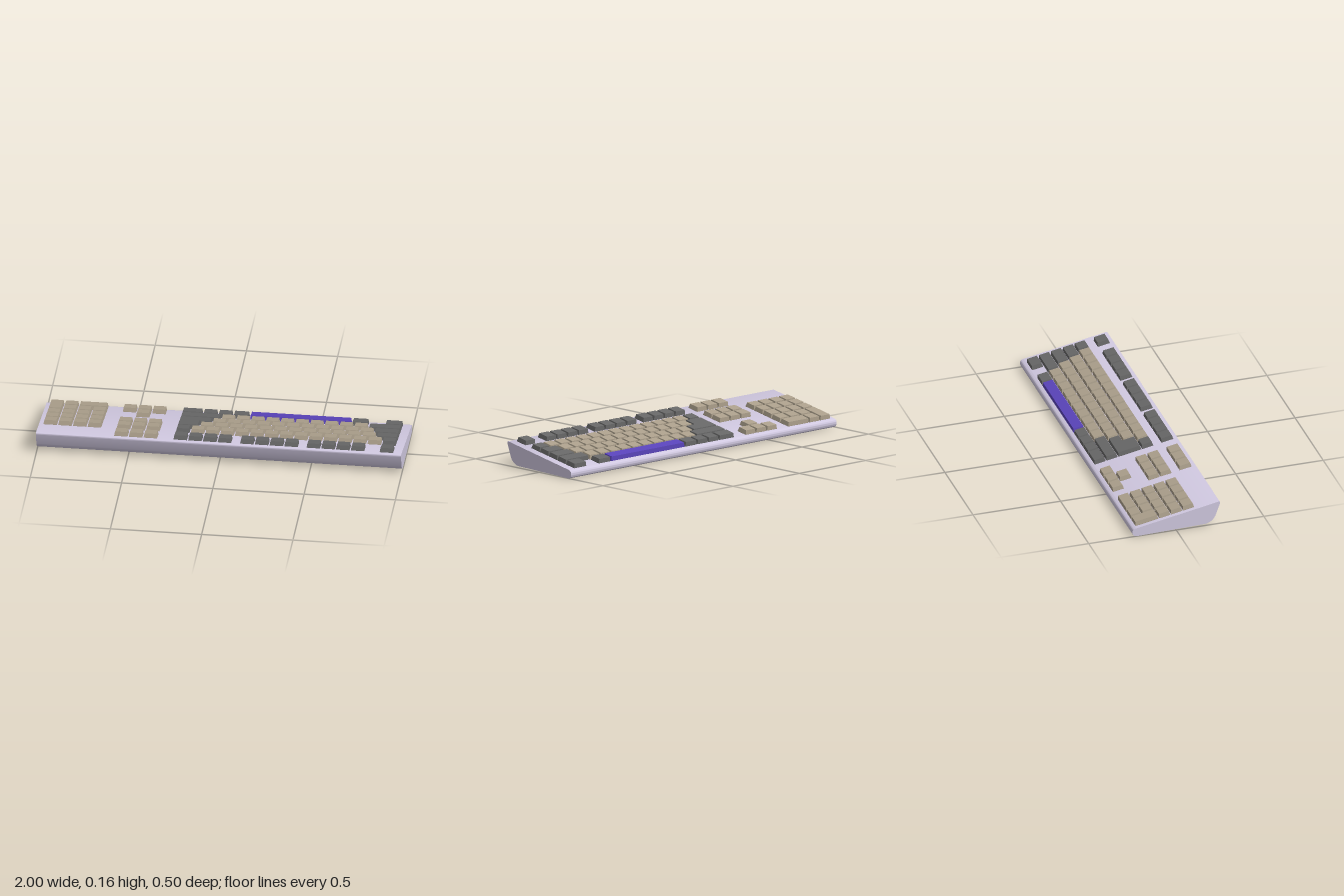
import * as THREE from 'three';
import { toCreasedNormals } from 'three/addons/utils/BufferGeometryUtils.js';

const U = 0.0807;                               // width of one key unit
const GAP = 0.0075;                             // space between keys
const TILT = 0.183;                             // slope of the deck
const RIGHT = 0.957;                            // +x end of the main block
const row = (i) => -0.193 + 0.068 * i;          // z of key rows, space bar row first
const HALF = 0.0315;                            // half the depth of a key

const paint = (color) => new THREE.MeshStandardMaterial({ color });

export function createModel() {
  const model = new THREE.Group();
  model.name = 'keyboard';
  const shell = paint(0xd0c8e0), tan = paint(0xaca08c), dark = paint(0x686868), violet = paint(0x5a44bb);

  // Wedge-shaped case: side profile drawn as (-z, y), swept along x
  const side = new THREE.Shape();
  side.moveTo(-0.245, 0.136);
  side.lineTo(0.228, 0.0485);
  side.bezierCurveTo(0.244, 0.045, 0.25, 0.038, 0.25, 0.026);
  side.bezierCurveTo(0.249, 0.01, 0.243, 0.001, 0.228, 0);
  side.lineTo(-0.158, 0.01);
  side.bezierCurveTo(-0.195, 0.011, -0.214, 0.032, -0.224, 0.053);
  side.lineTo(-0.249, 0.121);
  side.quadraticCurveTo(-0.253, 0.134, -0.245, 0.136);
  const body = new THREE.ExtrudeGeometry(side, { depth: 2, bevelEnabled: false, curveSegments: 10 });
  body.translate(0, 0, -1).rotateY(Math.PI / 2);
  const caseMesh = new THREE.Mesh(toCreasedNormals(body, 0.6), shell);
  caseMesh.name = 'case';
  model.add(caseMesh);

  // Keys lie on the sloping deck
  const keys = new THREE.Group();
  keys.name = 'keys';
  keys.position.y = 0.0906;
  keys.rotation.x = -TILT;
  model.add(keys);

  // Tapered keycap from an outline of [x, z] corners; the lower half is sunk in the case
  function keycap(name, outline, material) {
    const pts = outline.map(([x, z]) => new THREE.Vector2(x, -z / Math.cos(TILT)));
    const geo = new THREE.ExtrudeGeometry(new THREE.Shape(pts), {
      depth: 0.002, bevelThickness: 0.0225, bevelSize: 0.004, bevelOffset: -0.004, bevelSegments: 1,
    });
    geo.rotateX(-Math.PI / 2);
    const mesh = new THREE.Mesh(geo, material);
    mesh.name = name;
    keys.add(mesh);
  }

  // Rectangular key filling the cell from x0 to x1
  function key(name, x0, x1, z, material, z2 = z, half = HALF) {
    const a = x0 + GAP / 2, b = x1 - GAP / 2, n = z - half, f = z2 + half;
    keycap(name, [[a, n], [a, f], [b, f], [b, n]], material);
  }

  // Run of equal keys starting at x
  function run(name, x, z, count, material, half) {
    for (let i = 0; i < count; i++) key(name, x + i * U, x + (i + 1) * U, z, material, z, half);
  }

  // Main block rows: [row, dark key at +x, number of letter keys, dark key at -x], in units
  const mainRows = [
    [4, 1, 13, 1],
    [3, 1.5, 12, 0],
    [2, 1.75, 11, 0],
    [1, 2.25, 10, 2.75],
  ];
  for (const [r, first, count, last] of mainRows) {
    const end = RIGHT - first * U, start = end - count * U;
    key('modifierKey', end, RIGHT, row(r), dark);
    run('letterKey', start, row(r), count, tan);
    if (last) key('modifierKey', start - last * U, start, row(r), dark);
  }

  // L-shaped enter key over two rows
  const e0 = RIGHT - 15 * U + GAP / 2;
  const eWide = RIGHT - 12.75 * U - GAP / 2, eSlim = RIGHT - 13.5 * U - GAP / 2;
  const step = row(2) + HALF;
  keycap('enterKey', [
    [e0, row(2) - HALF], [e0, row(3) + HALF], [eSlim, row(3) + HALF],
    [eSlim, step], [eWide, step], [eWide, row(2) - HALF],
  ], dark);

  // Space bar row
  key('spaceBar', 0.118, 0.677, row(0), violet);
  for (const [a, b] of [[0.858, RIGHT], [0.677, 0.771], [0.027, 0.118], [-0.056, 0.027], [-0.138, -0.056], [-0.254, -0.138]]) {
    key('modifierKey', a, b, row(0), dark);
  }

  // Function row
  const fz = 0.191, fHalf = 0.034;
  run('escapeKey', RIGHT - U, fz, 1, dark, fHalf);
  for (const x of [0.476, 0.112, -0.253]) run('functionKey', x, fz, 4, dark, fHalf);

  // Navigation cluster and arrows
  const nav = -0.578;
  run('navigationKey', nav, fz, 3, tan, fHalf);
  run('navigationKey', nav, row(4), 3, tan);
  run('navigationKey', nav, row(3), 3, tan);
  run('arrowKey', nav + U, row(1), 1, tan);
  run('arrowKey', nav, row(0), 3, tan);

  // Number pad
  const pad = -0.979;
  for (const r of [4, 3, 2]) run('padKey', pad, row(r), 4, tan);
  run('padKey', pad + U, row(1), 3, tan);
  run('padKey', pad + U, row(0), 1, tan);
  key('padZeroKey', pad + 2 * U, pad + 4 * U, row(0), tan);
  key('padEnterKey', pad, pad + U, row(0), tan, row(1));

  return model;
}
